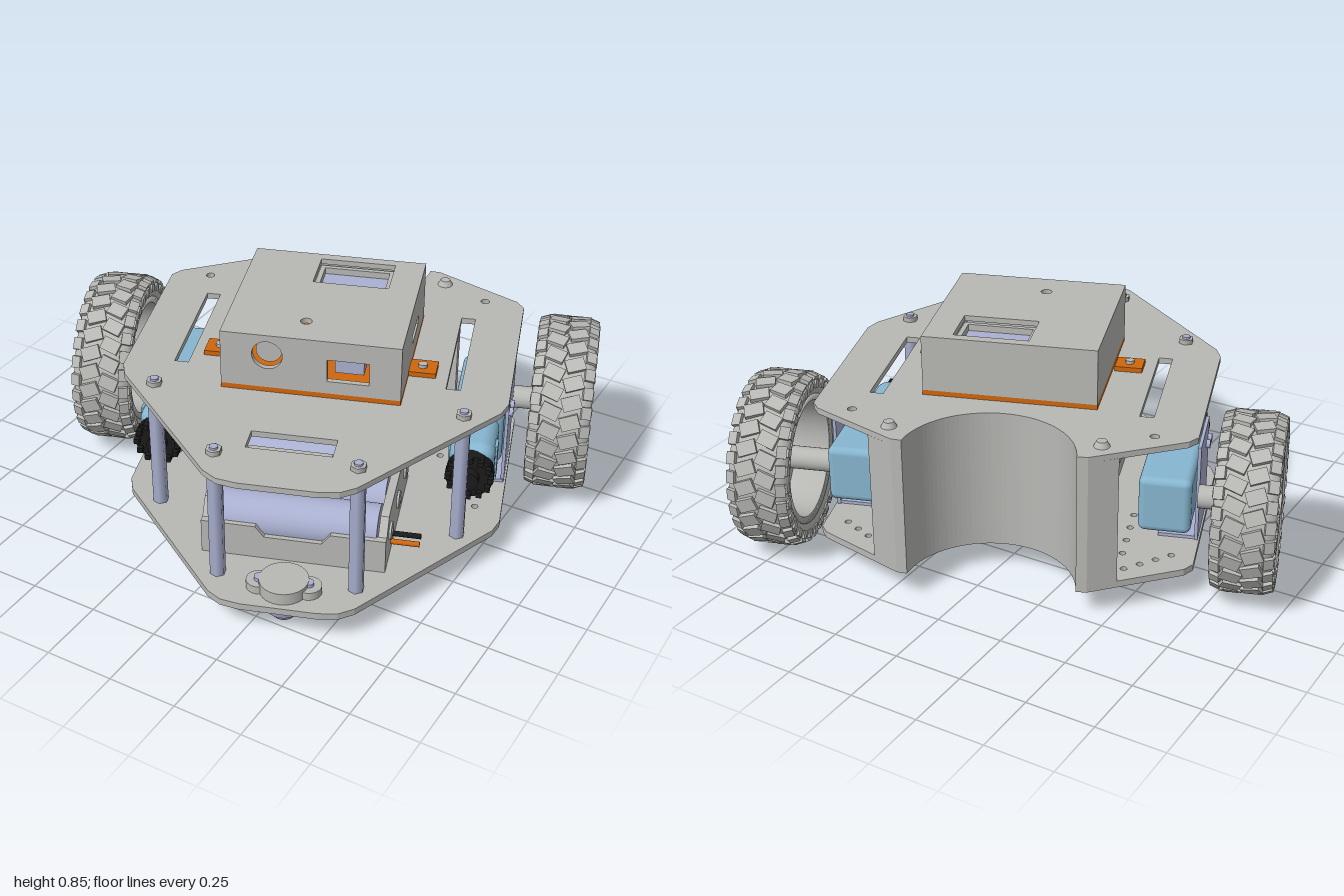
import * as THREE from 'three';
import { mergeGeometries } from 'three/addons/utils/BufferGeometryUtils.js';
import { RoundedBoxGeometry } from 'three/addons/geometries/RoundedBoxGeometry.js';

const paint = (name, color) => Object.assign(new THREE.MeshStandardMaterial({ color }), { name });
const gray = paint('gray', 0xb8b8b5);
const steel = paint('lavender steel', 0xaab0d0);
const blue = paint('blue', 0x86b6d0);
const orange = paint('orange', 0xd0660c);
const black = paint('black', 0x1a1a1a);

const add = (parent, name, geo, mat, x = 0, y = 0, z = 0) => {
  const m = new THREE.Mesh(geo, mat);
  m.name = name;
  m.position.set(x, y, z);
  parent.add(m);
  return m;
};
const box = (w, h, d) => new THREE.BoxGeometry(w, h, d);
const cyl = (r, h, n = 24, r2 = r) => new THREE.CylinderGeometry(r2, r, h, n);
const cylX = (r, h, n = 24) => cyl(r, h, n).rotateZ(-Math.PI / 2);
const cylZ = (r, h, n = 24) => cyl(r, h, n).rotateX(Math.PI / 2);
const poly = pts => new THREE.Shape(pts.map(p => new THREE.Vector2(...p)));
const rect = (x, y, w, h) => poly([[x - w / 2, y - h / 2], [x + w / 2, y - h / 2], [x + w / 2, y + h / 2], [x - w / 2, y + h / 2]]);
const disc = (x, y, r) => new THREE.Shape().absarc(x, y, r, 0, Math.PI * 2);
const extrude = (shape, depth, holes = []) => {
  shape.holes.push(...holes);
  return new THREE.ExtrudeGeometry(shape, { depth, bevelEnabled: false, curveSegments: 24 });
};
// Shapes for level plates use (x, -z); they rise from their base
const level = (shape, depth, holes) => extrude(shape, depth, holes).rotateX(-Math.PI / 2);

// Chassis outline with a round bay at the back
function plateShape() {
  const s = new THREE.Shape();
  const side = [[0.335, 0.597], [0.645, 0.425], [0.673, 0.385], [0.676, -0.27], [0.655, -0.33], [0.25, -0.835], [0.2, -0.87], [0.13, -0.882]];
  s.absarc(0, 0.64, 0.3, Math.PI + 0.134, Math.PI * 2 - 0.134, false);
  side.forEach(p => s.lineTo(...p));
  [...side].reverse().forEach(([x, y]) => s.lineTo(-x, y));
  return s;
}

// Curved back wall with short folded ends
function wallShape() {
  const s = new THREE.Shape();
  s.absarc(0, 0.64, 0.3, -0.134, Math.PI + 0.134, true);
  [[-0.335, 0.597], [-0.43, 0.545], [-0.425, 0.525], [-0.335, 0.575]].forEach(p => s.lineTo(...p));
  s.absarc(0, 0.64, 0.32, Math.PI + 0.2, Math.PI * 2 - 0.2, false);
  [[0.335, 0.575], [0.425, 0.525], [0.43, 0.545], [0.335, 0.597]].forEach(p => s.lineTo(...p));
  return s;
}

// Wheel with its outer face towards +x
function makeWheel() {
  const g = new THREE.Group();
  g.name = 'wheel';
  const ring = pts => new THREE.LatheGeometry(pts.map(p => new THREE.Vector2(...p)), 64).rotateZ(-Math.PI / 2);
  add(g, 'tire', ring([[0.235, -0.095], [0.27, -0.108], [0.295, -0.1], [0.305, -0.07], [0.308, 0], [0.305, 0.07],
    [0.295, 0.1], [0.27, 0.108], [0.235, 0.095], [0.235, -0.095]]), gray);
  add(g, 'rim', ring([[0.215, -0.095], [0.24, -0.1], [0.24, 0.1], [0.215, 0.095], [0.205, 0], [0.215, -0.095]]), gray);

  // Slanted tread blocks and shoulder blocks
  const blocks = [], N = 28;
  for (let i = 0; i < N; i++) for (const s of [-1, 1]) {
    const a = (i + (s > 0 ? 0.5 : 0)) / N * Math.PI * 2;
    blocks.push(box(0.068, 0.022, 0.05).rotateY(s * 0.35).translate(s * 0.036, 0.308, 0).rotateX(a));
    blocks.push(box(0.036, 0.022, 0.044).rotateZ(-s * 0.35).translate(s * 0.088, 0.3, 0).rotateX(a + 0.1));
    blocks.push(box(0.012, 0.03, 0.03).translate(s * 0.105, 0.277, 0).rotateX(a + 0.1));
  }
  add(g, 'tread', mergeGeometries(blocks), gray);

  // Five flared spokes and the hub
  for (let i = 0; i < 5; i++) {
    const spoke = extrude(poly([[-0.032, 0.03], [0.032, 0.03], [0.03, 0.14], [0.06, 0.22], [-0.06, 0.22], [-0.03, 0.14]]), 0.045);
    add(g, 'spoke', spoke.rotateY(Math.PI / 2).rotateX(i * Math.PI * 0.4), gray, 0.035);
  }
  add(g, 'hub', cylX(0.062, 0.09), gray, 0.05);
  add(g, 'hubCap', cylX(0.038, 0.02), gray, 0.1);
  add(g, 'axle', cylX(0.042, 0.2), gray, -0.08);
  return g;
}

// Gear motor with its bracket, outer side towards +x
function makeMotor(side) {
  const g = new THREE.Group();
  g.name = 'motor';
  const x = side * 0.56;
  add(g, 'gearbox', new RoundedBoxGeometry(0.185, 0.21, 0.4, 3, 0.025), blue, x, 0.32, -0.15);
  add(g, 'motorBody', new RoundedBoxGeometry(0.16, 0.2, 0.25, 4, 0.05), blue, x, 0.32, 0.14);
  add(g, 'motorStrap', box(0.172, 0.14, 0.05), blue, x, 0.32, 0.17);
  add(g, 'motorCap', cylZ(0.085, 0.04), black, x, 0.32, 0.27);
  for (let i = 0; i < 12; i++) {
    const a = i * Math.PI / 6;
    add(g, 'capTooth', box(0.02, 0.02, 0.05), black, x + Math.cos(a) * 0.075, 0.32 + Math.sin(a) * 0.075, 0.285);
  }
  add(g, 'motorTip', cylZ(0.035, 0.07), black, x, 0.32, 0.29);
  add(g, 'bracketPlate', box(0.012, 0.37, 0.25), steel, side * 0.662, 0.31, -0.095);
  add(g, 'bracketFoot', box(0.14, 0.012, 0.25), steel, side * 0.595, 0.131, -0.09);
  for (const z of [-0.04, 0.01]) add(g, 'bracketBolt', cylX(0.016, 0.02, 12), steel, side * 0.672, 0.42, z);
  return g;
}

// Hollow case with openings, on an orange board
function makeCase() {
  const g = new THREE.Group();
  g.name = 'electronicsCase';
  const w = 0.622, d = 0.598, h = 0.205, t = 0.02, cx = 0.006, cz = 0.049, y = 0.64;
  add(g, 'circuitBoard', box(w, 0.018, d), orange, cx, 0.631, cz);
  add(g, 'caseLid', level(rect(0, 0, w, d), t, [rect(0.07, 0.178, 0.27, 0.17), disc(-0.036, -0.18, 0.02)]), gray, cx, y + h - t, cz);
  add(g, 'caseFront', extrude(rect(0, 0, w, h - t), t, [disc(-0.149, 0.035, 0.053), rect(0.13, -0.002, 0.145, 0.085)]),
    gray, cx, y + (h - t) / 2, cz + d / 2 - t);
  add(g, 'caseBack', box(w, h - t, t), gray, cx, y + (h - t) / 2, cz - d / 2 + t / 2);
  add(g, 'caseRightSide', box(t, h - t, d - 2 * t), gray, cx - w / 2 + t / 2, y + (h - t) / 2, cz);
  add(g, 'caseLeftSide', extrude(rect(0, 0, d - 2 * t, h - t), t, [rect(0.046, -0.017, 0.15, 0.035)]).rotateY(Math.PI / 2),
    gray, cx + w / 2 - t, y + (h - t) / 2, cz);
  add(g, 'screenFrame', level(rect(0, 0, 0.27, 0.17), 0.03, [rect(0, 0, 0.235, 0.135)]), gray, cx + 0.07, 0.79, -0.129);
  add(g, 'screen', box(0.25, 0.012, 0.15), steel, cx + 0.07, 0.79, -0.129);
  add(g, 'frontSocket', box(0.1, 0.05, 0.06), steel, 0.136, 0.735, 0.29);
  add(g, 'frontSensor', cylZ(0.045, 0.05), gray, -0.143, 0.767, 0.29);
  for (const s of [-1, 1]) {
    add(g, 'mountingTab', box(0.1, 0.018, 0.085), orange, s * 0.362, 0.631, 0.115);
    add(g, 'tabScrew', cyl(0.016, 0.015, 12), gray, s * 0.362, 0.645, 0.115);
    add(g, 'tabSpacer', cyl(0.034, 0.06), gray, s * 0.362, 0.57, 0.115);
  }
  return g;
}

// Open tray with three cells lying across it
function makeBattery() {
  const g = new THREE.Group();
  g.name = 'batteryHolder';
  add(g, 'trayFloor', box(0.64, 0.025, 0.56), gray, 0, 0.138, 0.35);
  const wave = [[-0.32, 0], [0.32, 0], [0.32, 0.13], [0.13, 0.13], [0.1, 0.09], [-0.1, 0.09], [-0.13, 0.13], [-0.32, 0.13]];
  for (const z of [0.07, 0.605]) add(g, 'trayWall', extrude(poly(wave), 0.025), gray, 0, 0.125, z);
  const end = [[-0.28, 0], [0.28, 0], [0.28, 0.11], [0.25, 0.135], [0.21, 0.185], [0.18, 0.19], [-0.18, 0.19], [-0.21, 0.185], [-0.25, 0.135], [-0.28, 0.11]];
  for (const s of [-1, 1]) {
    add(g, 'trayEnd', extrude(poly(end), 0.03).rotateY(Math.PI / 2), gray, s * 0.305 - 0.015, 0.125, 0.35);
    for (const z of [0.17, 0.35, 0.53]) {
      add(g, 'contactRivet', cylX(0.032, 0.012), gray, s * 0.322, 0.23, z);
      add(g, 'contactPin', cylX(0.013, 0.018, 12), steel, s * 0.323, 0.23, z);
    }
  }
  for (const z of [0.17, 0.35, 0.53]) add(g, 'batteryCell', cylX(0.085, 0.57, 32), steel, 0, 0.235, z);
  [orange, black].forEach((m, i) => add(g, 'wire', cylX(0.01, 0.1, 10), m, 0.37, 0.16, 0.5 - i * 0.045));
  return g;
}

export function createModel() {
  const root = new THREE.Group();
  root.name = 'robotCar';
  const car = new THREE.Group();
  car.name = 'car';
  car.rotation.y = 0.333;
  car.position.set(0.081, 0, -0.028);
  root.add(car);

  // Decks with slots and drilled holes
  const small = [], drill = [];
  for (const s of [-1, 1]) {
    small.push(rect(s * 0.48, 0.027, 0.05, 0.485), disc(s * 0.527, 0.407, 0.016));
    for (let i = 0; i < 4; i++) drill.push(disc(s * (0.44 + i * 0.05), 0.46 - i * 0.04, 0.012), disc(s * 0.42, 0.36 - i * 0.09, 0.012));
    drill.push(disc(s * 0.58, -0.2, 0.012));
  }
  add(car, 'topDeck', level(plateShape(), 0.022, [...small, rect(0, -0.637, 0.29, 0.095)]), gray, 0, 0.6, 0);
  add(car, 'bottomDeck', level(plateShape(), 0.025, drill), gray, 0, 0.1, 0);
  add(car, 'backWall', level(wallShape(), 0.476), gray, 0, 0.125, 0);
  add(car, 'slotLip', box(0.28, 0.008, 0.035), gray, 0, 0.602, 0.665);

  for (const s of [-1, 1]) {
    // Hexagonal posts with nuts and screws
    for (const [x, z] of [[0.238, 0.733], [0.535, 0.374]]) {
      add(car, 'post', cyl(0.028, 0.476, 6), steel, s * x, 0.363, z);
      add(car, 'postNut', cyl(0.028, 0.018, 6), gray, s * x, 0.631, z);
      add(car, 'postTip', cyl(0.015, 0.03, 12), steel, s * x, 0.633, z);
      add(car, 'postScrew', cyl(0.022, 0.014), gray, s * x, 0.094, z);
    }
    add(car, 'wallBoss', cyl(0.036, 0.07), gray, s * 0.365, 0.565, -0.5);
    add(car, 'wallScrew', cyl(0.028, 0.02, 24, 0.018), gray, s * 0.365, 0.632, -0.509);
    add(car, 'trayBolt', cyl(0.026, 0.02), gray, s * 0.16, 0.092, 0.35);
    // Drive units
    car.add(makeMotor(s));
    const wheel = makeWheel();
    wheel.position.set(s * 0.847, 0.32, -0.248);
    if (s < 0) wheel.rotation.y = Math.PI;
    car.add(wheel);
    // Caster ears
    add(car, 'casterEar', cyl(0.045, 0.03), gray, s * 0.085, 0.14, 0.777);
    add(car, 'casterScrew', cyl(0.018, 0.015, 12), steel, s * 0.085, 0.16, 0.777);
  }

  // Ball caster
  add(car, 'casterBase', cyl(0.085, 0.045, 32), gray, 0, 0.147, 0.777);
  add(car, 'casterCollar', cyl(0.06, 0.055, 32, 0.075), steel, 0, 0.073, 0.777);
  add(car, 'casterBall', new THREE.SphereGeometry(0.052, 32, 16), steel, 0, 0.055, 0.777);

  car.add(makeBattery(), makeCase());
  return root;
}
